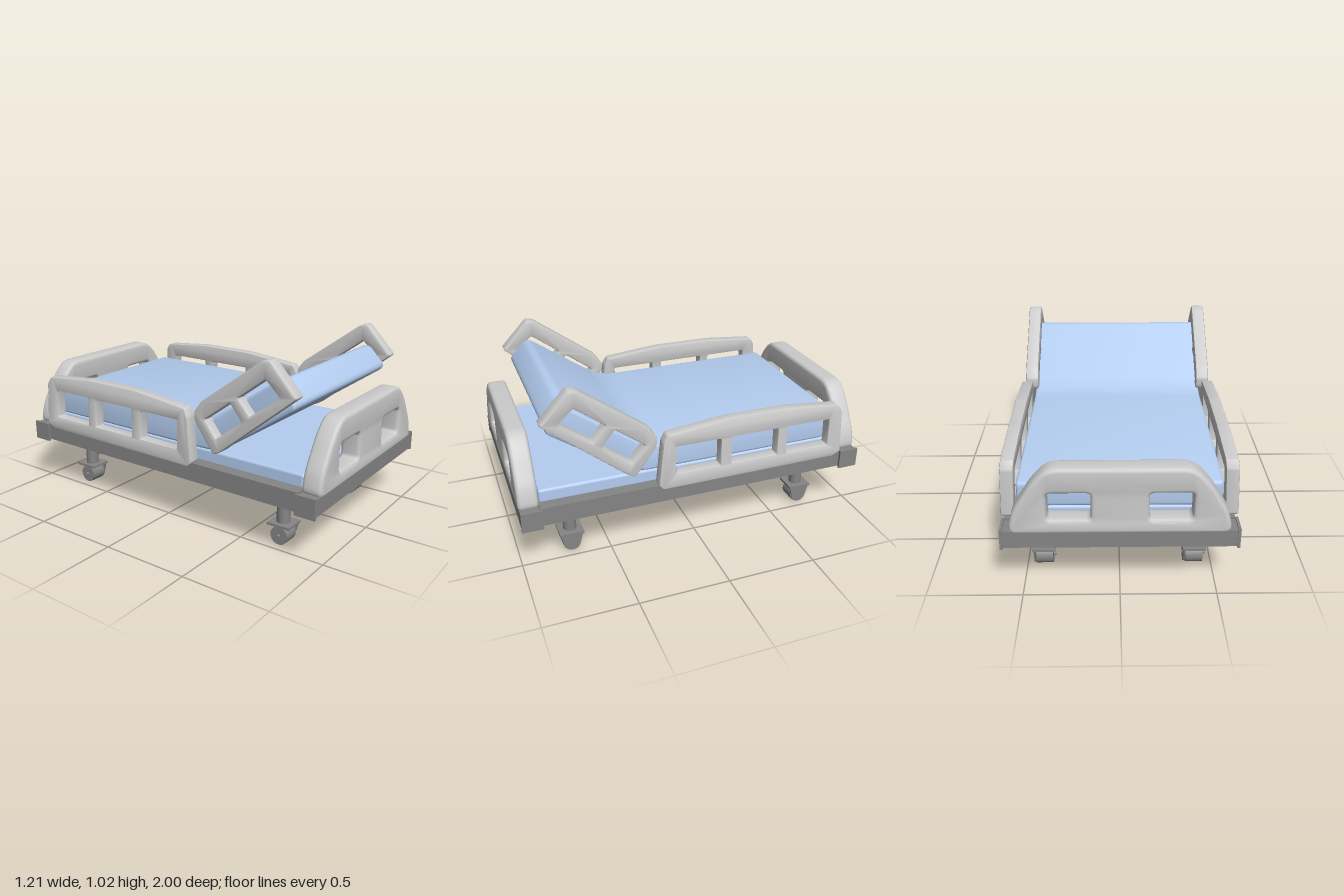
import * as THREE from 'three';
import { toCreasedNormals } from 'three/addons/utils/BufferGeometryUtils.js';
import { RoundedBoxGeometry } from 'three/addons/geometries/RoundedBoxGeometry.js';

const panelMat = new THREE.MeshStandardMaterial({ color: 0xcccccc });
const frameMat = new THREE.MeshStandardMaterial({ color: 0x858585 });
const fabricMat = new THREE.MeshStandardMaterial({ color: 0xb4cdf0 });

// Closed outline through the points with every corner rounded
function roundedOutline(points, radius, Type = THREE.Shape) {
  const path = new Type();
  const pts = points.map(([x, y]) => new THREE.Vector2(x, y));
  pts.forEach((p, i) => {
    const prev = pts[(i + pts.length - 1) % pts.length];
    const next = pts[(i + 1) % pts.length];
    const toward = (q) => p.clone().lerp(q, Math.min(0.45, radius / p.distanceTo(q)));
    const a = toward(prev), b = toward(next);
    if (i === 0) path.moveTo(a.x, a.y);
    else path.lineTo(a.x, a.y);
    path.quadraticCurveTo(p.x, p.y, b.x, b.y);
  });
  path.closePath();
  return path;
}

// Slab of the given thickness, centred on its depth, with bevelled edges
function slab(shape, thickness, bevel, segments = 2) {
  const geo = new THREE.ExtrudeGeometry(shape, {
    depth: thickness - 2 * bevel, curveSegments: 5,
    bevelThickness: bevel, bevelSize: bevel, bevelOffset: -bevel, bevelSegments: segments,
  });
  return geo.translate(0, 0, bevel - thickness / 2);
}

// Same slab for outlines drawn in (z, y), with its thickness along x
const sideSlab = (...args) => slab(...args).rotateY(-Math.PI / 2);

function add(parent, name, geo, mat, x = 0, y = 0, z = 0) {
  const mesh = new THREE.Mesh(geo, mat);
  mesh.name = name;
  mesh.position.set(x, y, z);
  parent.add(mesh);
  return mesh;
}

const box = (w, h, d) => new THREE.BoxGeometry(w, h, d);
const rect = (x0, x1, y0, y1) => [[x0, y0], [x1, y0], [x1, y1], [x0, y1]];

// End board with two hand openings
function endBoardGeometry() {
  const half = [[0.56, 0.37], [0.535, 0.49], [0.43, 0.66], [0.35, 0.737]];
  const mirrored = half.map(([x, y]) => [-x, y]).reverse();
  const shape = roundedOutline([...half, ...mirrored], 0.05);
  for (const s of [-1, 1]) {
    shape.holes.push(roundedOutline(rect(s * 0.252 - 0.108, s * 0.252 + 0.108, 0.45, 0.6), 0.025, THREE.Path));
  }
  return toCreasedNormals(slab(shape, 0.11, 0.02, 3), 0.6);
}

// Long side rail with three openings, leaning inward near the top
function sideRailGeometry(side) {
  const shape = roundedOutline([
    [0.248, 0.4], [0.22, 0.375], [-0.82, 0.378], [-0.872, 0.4], [-0.862, 0.66], [-0.835, 0.7],
    [-0.51, 0.73], [-0.155, 0.73], [0.195, 0.695], [0.22, 0.65],
  ], 0.012);
  for (const [a, b] of [[-0.11, 0.15], [-0.455, -0.175], [-0.78, -0.515]]) {
    shape.holes.push(roundedOutline(rect(a, b, 0.46, 0.622), 0.008, THREE.Path));
  }
  const geo = sideSlab(shape, 0.068, 0.008);
  const pos = geo.attributes.position;
  for (let i = 0; i < pos.count; i++) {
    const lean = Math.max(0, pos.getY(i) - 0.55) / 0.18;
    pos.setX(i, pos.getX(i) - side * 0.015 * lean);
  }
  return toCreasedNormals(geo, 0.5);
}

// Tilted rail beside the raised backrest, with two openings
function backrestRailGeometry() {
  const shape = roundedOutline([
    [0.862, 0.858], [0.705, 1.025], [0.66, 1.015], [0.289, 0.743], [0.246, 0.685], [0.25, 0.63],
    [0.369, 0.467], [0.41, 0.487],
  ], 0.014);
  const openings = [
    [[0.765, 0.85], [0.684, 0.925], [0.524, 0.805], [0.597, 0.722]],
    [[0.545, 0.684], [0.476, 0.77], [0.316, 0.652], [0.39, 0.56]],
  ];
  for (const o of openings) shape.holes.push(roundedOutline(o, 0.008, THREE.Path));
  return toCreasedNormals(sideSlab(shape, 0.078, 0.012), 0.5);
}

// Mattress folded upward at the backrest
function mattressGeometry() {
  const s = new THREE.Shape();
  s.moveTo(-0.86, 0.46);
  s.lineTo(0.25, 0.46);
  s.quadraticCurveTo(0.36, 0.46, 0.44, 0.515);
  s.lineTo(0.8, 0.765);
  s.quadraticCurveTo(0.835, 0.79, 0.81, 0.82);
  s.lineTo(0.745, 0.89);
  s.quadraticCurveTo(0.715, 0.915, 0.68, 0.892);
  s.lineTo(0.34, 0.652);
  s.quadraticCurveTo(0.26, 0.602, 0.16, 0.602);
  s.lineTo(-0.86, 0.602);
  s.quadraticCurveTo(-0.885, 0.602, -0.885, 0.577);
  s.lineTo(-0.885, 0.485);
  s.quadraticCurveTo(-0.885, 0.46, -0.86, 0.46);
  return toCreasedNormals(sideSlab(s, 1.035, 0.015, 3), 0.6);
}

// Swivel wheel held by a single tapered bracket
function caster() {
  const g = new THREE.Group();
  g.name = 'caster';
  add(g, 'mountingDisc', new THREE.CylinderGeometry(0.054, 0.054, 0.02, 24), frameMat, 0, 0.28, 0);
  add(g, 'stem', new THREE.CylinderGeometry(0.037, 0.037, 0.16, 24), frameMat, 0, 0.195, 0);
  add(g, 'forkPlate', box(0.125, 0.014, 0.135), frameMat, 0.002, 0.112, 0);
  add(g, 'wheel', new THREE.CylinderGeometry(0.051, 0.051, 0.092, 28).rotateZ(Math.PI / 2), frameMat, 0, 0.051, 0);
  add(g, 'axle', new THREE.CylinderGeometry(0.01, 0.01, 0.125, 12).rotateZ(Math.PI / 2), frameMat, 0, 0.051, 0);
  const bracket = new THREE.Shape();
  bracket.moveTo(-0.066, 0.118);
  bracket.lineTo(-0.045, 0.045);
  bracket.absarc(0, 0.05, 0.045, Math.PI, Math.PI * 2, false);
  bracket.lineTo(0.066, 0.118);
  const geo = new THREE.ExtrudeGeometry(bracket, { depth: 0.01, bevelEnabled: false, curveSegments: 14 });
  add(g, 'forkBracket', geo.rotateY(-Math.PI / 2), frameMat, 0.058, 0, 0);
  return g;
}

export function createModel() {
  const bed = new THREE.Group();
  bed.name = 'adjustableBed';

  // Base frame and mattress
  add(bed, 'baseFrame', box(1.17, 0.105, 1.78), frameMat, 0, 0.3425, 0);
  add(bed, 'mattressBase', new RoundedBoxGeometry(1.04, 0.08, 1.77, 3, 0.015), fabricMat, 0, 0.425, 0);
  add(bed, 'mattress', mattressGeometry(), fabricMat);

  // Head and foot ends
  const board = endBoardGeometry();
  for (const end of [1, -1]) {
    add(bed, end > 0 ? 'headBoard' : 'footBoard', board, panelMat, 0, 0, end * 0.943);
    add(bed, 'endCrossbar', box(1.176, 0.094, 0.11), frameMat, 0, 0.337, end * 0.938);
    for (const side of [1, -1]) {
      add(bed, 'cornerPlate', box(0.014, 0.112, 0.115), frameMat, side * 0.594, 0.336, end * 0.938);
      const wheel = caster();
      wheel.position.set(side * 0.405, 0, end * 0.71);
      bed.add(wheel);
    }
  }

  // Guard rails on both sides
  const backrestRail = backrestRailGeometry();
  for (const side of [1, -1]) {
    const label = side > 0 ? 'left' : 'right';
    add(bed, label + 'SideRail', sideRailGeometry(side), panelMat, side * 0.571);
    add(bed, label + 'BackrestRail', backrestRail, panelMat, side * 0.537);
  }
  return bed;
}
